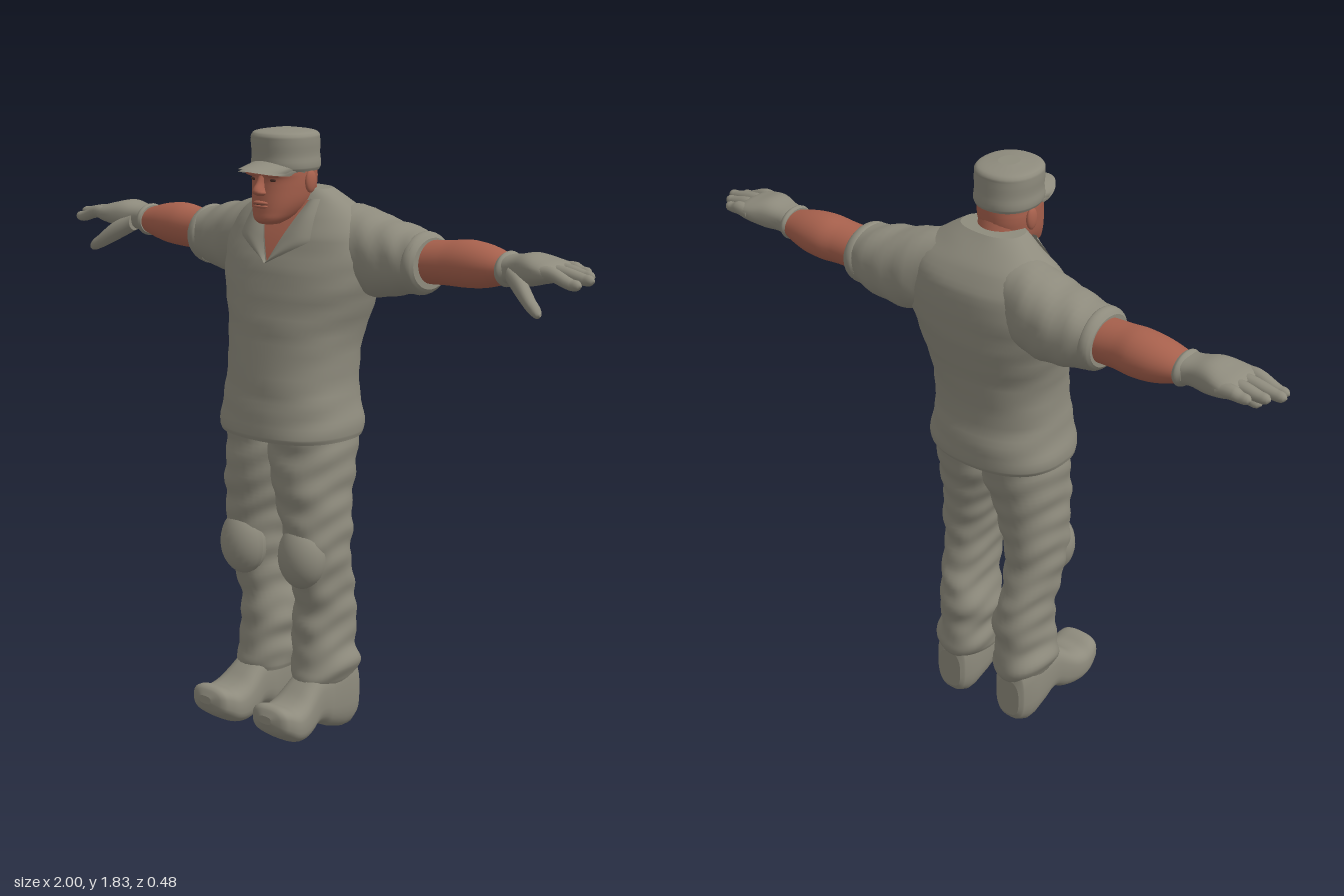
import * as THREE from 'three';

const mat = (name, color) => {
  const m = new THREE.MeshStandardMaterial({ color, side: THREE.DoubleSide });
  m.name = name;
  return m;
};

// Smooth interpolation through rows of [position, lowA, highA, lowB, highB].
const curveOf = (rows) => new THREE.CubicInterpolant(rows.map((r) => r[0]), rows.flatMap((r) => r.slice(1)), 4);

const sgnPow = (v, p) => Math.sign(v) * Math.abs(v) ** p;

// Loft of superellipse sections along an axis. Row order: y rows hold x then z,
// x rows hold y then z, z rows hold x then y.
function loft(axis, rows, { power = 2, sides = 32, sub = 4, fold = 0 } = {}) {
  const curve = curveOf(rows), pos = [], index = [], stops = [];
  rows.forEach((r, i) => {
    if (i) for (let k = 0; k < sub; k++) stops.push(rows[i - 1][0] + ((r[0] - rows[i - 1][0]) * k) / sub);
  });
  stops.push(rows[rows.length - 1][0]);
  const put = (t, a, b) => {
    if (axis === 'y') pos.push(a, t, b);
    else if (axis === 'x') pos.push(t, a, b);
    else pos.push(a, b, t);
  };
  const ring = (t) => {
    const [a0, a1, b0, b1] = curve.evaluate(t);
    for (let j = 0; j < sides; j++) {
      const th = (j / sides) * Math.PI * 2;
      const f = fold * (Math.sin(t * 75 + 2 * Math.sin(th * 2 + 1)) + 0.6 * Math.sin(t * 41 + th * 3));
      const p = sgnPow(Math.cos(th), 2 / power), q = sgnPow(Math.sin(th), 2 / power);
      // The y axis runs its sections as (z, x) so every ring turns the same way.
      const [u, v] = axis === 'y' ? [q, p] : [p, q];
      put(t, (a0 + a1) / 2 + u * ((a1 - a0) / 2 + f), (b0 + b1) / 2 + v * ((b1 - b0) / 2 + f));
    }
  };
  stops.forEach(ring);
  for (let i = 0; i < stops.length - 1; i++) {
    for (let j = 0; j < sides; j++) {
      const a = i * sides + j, b = i * sides + ((j + 1) % sides);
      index.push(a, b, b + sides, a, b + sides, a + sides);
    }
  }
  // Flat end caps with their own vertices
  [stops[0], stops[stops.length - 1]].forEach((t, end) => {
    const start = pos.length / 3;
    ring(t);
    const [a0, a1, b0, b1] = curve.evaluate(t);
    put(t, (a0 + a1) / 2, (b0 + b1) / 2);
    for (let j = 0; j < sides; j++) {
      const a = start + j, b = start + ((j + 1) % sides);
      index.push(start + sides, end ? a : b, end ? b : a);
    }
  });
  return build(pos, index);
}

function build(pos, index) {
  const g = new THREE.BufferGeometry();
  g.setAttribute('position', new THREE.Float32BufferAttribute(pos, 3));
  g.setIndex(index);
  g.computeVertexNormals();
  return g;
}

// Grid surface from a function of u and v, both 0 to 1
function patch(fn, nu = 16, nv = 12) {
  const pos = [], index = [];
  for (let i = 0; i <= nv; i++) for (let j = 0; j <= nu; j++) pos.push(...fn(j / nu, i / nv));
  for (let i = 0; i < nv; i++) {
    for (let j = 0; j < nu; j++) {
      const a = i * (nu + 1) + j, c = a + nu + 1;
      index.push(a, a + 1, c + 1, a, c + 1, c);
    }
  }
  return build(pos, index);
}

function mirrored(geo) {
  const g = geo.clone().scale(-1, 1, 1), ix = g.index.array;
  for (let i = 0; i < ix.length; i += 3) [ix[i + 1], ix[i + 2]] = [ix[i + 2], ix[i + 1]];
  g.computeVertexNormals();
  return g;
}

const ball = (x, y, z, rx, ry, rz) => new THREE.SphereGeometry(1, 24, 16).scale(rx, ry, rz).translate(x, y, z);

export function createModel() {
  const model = new THREE.Group();
  const cloth = mat('greyCloth', 0x8e8b7d), skin = mat('skin', 0xa8614d), dark = mat('darkBrown', 0x4b2f27);
  const add = (name, geo, m) => {
    const mesh = new THREE.Mesh(geo, m);
    mesh.name = name;
    model.add(mesh);
  };
  const pair = (name, geo, m) => {
    add(name + 'Left', geo, m);
    add(name + 'Right', mirrored(geo), m);
  };

  // Shirt body
  const even = (rows) => rows.map(([y, w, z0, z1]) => [y, -w, w, z0, z1]);
  const torso = even([
    [0.915, 0.218, -0.19, 0.158], [0.93, 0.222, -0.198, 0.163], [0.99, 0.212, -0.2, 0.158],
    [1.07, 0.2, -0.19, 0.148], [1.2, 0.205, -0.202, 0.13], [1.3, 0.232, -0.224, 0.115],
    [1.4, 0.262, -0.236, 0.095], [1.5, 0.258, -0.232, 0.06], [1.56, 0.22, -0.205, 0.03],
    [1.6, 0.165, -0.165, 0.008], [1.64, 0.1, -0.125, -0.005],
  ]);
  add('shirt', loft('y', torso, { power: 2.4, sides: 48, fold: 0.0015 }), cloth);

  // Open neck and collar flaps draped on the chest
  const body = curveOf(torso);
  const onChest = (x, y, lift) => {
    const [, w, z0, z1] = body.evaluate(y);
    const f = Math.max(0, 1 - Math.abs(x / w) ** 2.4) ** (1 / 2.4);
    return [x, y, (z0 + z1) / 2 + ((z1 - z0) / 2) * f + lift];
  };
  const opening = (y) => ((y - 1.43) / 0.18) * 0.085;
  add('openNeck', patch((u, v) => {
    const y = 1.43 + 0.18 * v;
    return onChest((2 * u - 1) * opening(y), y, 0.004);
  }), skin);
  pair('collarFlap', patch((u, v) => {
    const y = 1.43 + 0.185 * v;
    const outer = y < 1.5 ? ((y - 1.43) / 0.07) * 0.135 : 0.135 - ((y - 1.5) / 0.115) * 0.02;
    const inner = opening(y);
    return onChest(inner + (Math.max(outer, inner) - inner) * u, y, 0.009 + 0.008 * Math.sin(u * Math.PI));
  }, 8, 20), cloth);

  // Sleeves, cuffs and bare forearms
  pair('sleeve', loft('x', [
    [0.1, 1.39, 1.605, -0.19, -0.02], [0.2, 1.345, 1.59, -0.225, 0], [0.28, 1.337, 1.567, -0.23, -0.005],
    [0.36, 1.352, 1.55, -0.225, -0.015], [0.41, 1.362, 1.537, -0.213, -0.022], [0.43, 1.368, 1.532, -0.21, -0.024],
  ], { power: 2.2, fold: 0.002 }), cloth);
  pair('sleeveCuff', loft('x', [
    [0.405, 1.36, 1.535, -0.212, -0.022], [0.415, 1.358, 1.541, -0.217, -0.018],
    [0.435, 1.366, 1.536, -0.214, -0.022], [0.445, 1.378, 1.525, -0.205, -0.032],
  ]), cloth);
  pair('forearm', loft('x', [
    [0.4, 1.39, 1.515, -0.195, -0.05], [0.5, 1.395, 1.523, -0.2, -0.058], [0.56, 1.395, 1.53, -0.21, -0.06],
    [0.63, 1.402, 1.523, -0.205, -0.065], [0.72, 1.428, 1.498, -0.18, -0.082],
  ]), skin);

  // Gloves
  pair('gloveCuff', loft('x', [
    [0.695, 1.42, 1.51, -0.187, -0.072], [0.705, 1.414, 1.515, -0.191, -0.068], [0.72, 1.425, 1.505, -0.183, -0.076],
  ]), cloth);
  pair('glovePalm', loft('x', [
    [0.7, 1.422, 1.506, -0.184, -0.075], [0.74, 1.43, 1.51, -0.18, -0.075], [0.79, 1.428, 1.52, -0.19, -0.06],
    [0.84, 1.44, 1.51, -0.203, -0.048], [0.875, 1.45, 1.5, -0.2, -0.05], [0.89, 1.46, 1.49, -0.19, -0.06],
  ], { power: 2.5 }), cloth);
  [[-0.183, 0.94, 1.473], [-0.146, 0.975, 1.47], [-0.108, 1, 1.467], [-0.069, 0.985, 1.457]].forEach(([z, tip, y], i) => {
    const row = (x, cy, r) => [x, cy - r, cy + r, z - r, z + r];
    pair('finger' + (i + 1), loft('x', [
      row(0.84, 1.475, 0.021), row(0.89, 1.478, 0.02), row(tip - 0.03, y, 0.016), row(tip - 0.008, y, 0.012), row(tip, y, 0.003),
    ], { sides: 14 }), cloth);
  });
  pair('thumb', loft('x', [
    [0.74, 1.43, 1.485, -0.12, -0.065], [0.8, 1.393, 1.455, -0.09, -0.036], [0.85, 1.366, 1.41, -0.062, -0.02],
    [0.873, 1.36, 1.39, -0.05, -0.02], [0.882, 1.367, 1.375, -0.038, -0.028],
  ], { sides: 18 }), cloth);

  // Neck and head
  add('neck', loft('y', even([
    [1.48, 0.09, -0.11, 0.03], [1.58, 0.078, -0.112, 0.045], [1.63, 0.07, -0.098, 0.05], [1.68, 0.068, -0.08, 0.05],
  ])), skin);
  add('head', loft('y', even([
    [1.545, 0.03, 0.045, 0.108], [1.555, 0.044, 0.02, 0.119], [1.58, 0.062, -0.03, 0.12], [1.61, 0.075, -0.07, 0.118],
    [1.65, 0.082, -0.085, 0.113], [1.675, 0.084, -0.087, 0.112], [1.69, 0.084, -0.087, 0.118], [1.73, 0.084, -0.085, 0.105],
  ]), { power: 2.3 }), skin);
  add('nose', loft('y', even([
    [1.628, 0.012, 0.1, 0.128], [1.635, 0.02, 0.1, 0.141], [1.645, 0.016, 0.1, 0.144], [1.665, 0.01, 0.1, 0.13], [1.685, 0.01, 0.1, 0.118],
  ]), { sides: 16 }), skin);
  [1.597, 1.607].forEach((y) => add('lip', ball(0, y, 0.115, 0.027, 0.006, 0.011), skin));
  add('mouthLine', ball(0, 1.602, 0.12, 0.026, 0.0015, 0.004), dark);
  pair('browRidge', ball(0.035, 1.689, 0.105, 0.032, 0.009, 0.014).rotateZ(0), skin);
  pair('eye', ball(0.034, 1.673, 0.104, 0.015, 0.005, 0.004), dark);
  pair('ear', ball(0.087, 1.665, -0.002, 0.011, 0.033, 0.021), skin);

  // Cap and its brim
  add('capCrown', loft('y', even([
    [1.695, 0.09, -0.09, 0.1], [1.705, 0.095, -0.094, 0.107], [1.74, 0.093, -0.092, 0.107], [1.785, 0.095, -0.09, 0.109],
    [1.798, 0.092, -0.088, 0.107], [1.807, 0.078, -0.072, 0.092], [1.814, 0.03, -0.025, 0.04],
  ]), { power: 2.2 }), cloth);
  for (const drop of [0, 0.007]) {
    add('capBrim', patch((u, v) => {
      const s = 2 * u - 1, arc = Math.sqrt(Math.max(0, 1 - s * s));
      return [0.09 * s * (1 - 0.12 * v), 1.728 - drop - 0.018 * v - 0.02 * s * s, 0.02 + 0.075 * arc + v * 0.093 * arc ** 0.8];
    }, 24, 6), cloth);
  }

  // Trousers with knee pads and cuffs
  pair('trouserLeg', loft('y', [
    [0.145, 0.04, 0.178, -0.148, 0.062], [0.16, 0.032, 0.188, -0.156, 0.068], [0.2, 0.026, 0.2, -0.163, 0.066],
    [0.26, 0.03, 0.187, -0.15, 0.06], [0.32, 0.022, 0.185, -0.16, 0.06], [0.4, 0.04, 0.185, -0.15, 0.06],
    [0.46, 0.045, 0.19, -0.135, 0.08], [0.55, 0.038, 0.198, -0.115, 0.1], [0.63, 0.03, 0.202, -0.12, 0.11],
    [0.7, 0.012, 0.2, -0.125, 0.115], [0.78, -0.01, 0.2, -0.14, 0.125], [0.88, -0.03, 0.2, -0.165, 0.122],
    [0.95, -0.03, 0.2, -0.17, 0.12],
  ], { power: 2.3, fold: 0.0028, sub: 7 }), cloth);
  pair('kneePad', ball(0.118, 0.56, 0.065, 0.077, 0.1, 0.07), cloth);

  // Boots: upturned toe, arched sole
  pair('boot', loft('z', [
    [-0.147, 0.075, 0.16, 0.02, 0.15], [-0.135, 0.062, 0.175, 0, 0.2], [-0.02, 0.058, 0.18, 0.002, 0.205],
    [0.01, 0.056, 0.18, 0.02, 0.2], [0.04, 0.054, 0.18, 0.024, 0.19], [0.08, 0.048, 0.187, 0.004, 0.16],
    [0.12, 0.043, 0.197, 0, 0.13], [0.16, 0.043, 0.202, 0.008, 0.118], [0.2, 0.05, 0.198, 0.032, 0.13],
    [0.225, 0.065, 0.182, 0.053, 0.126], [0.238, 0.1, 0.148, 0.08, 0.105],
  ], { power: 2.8 }), cloth);

  return model;
}
